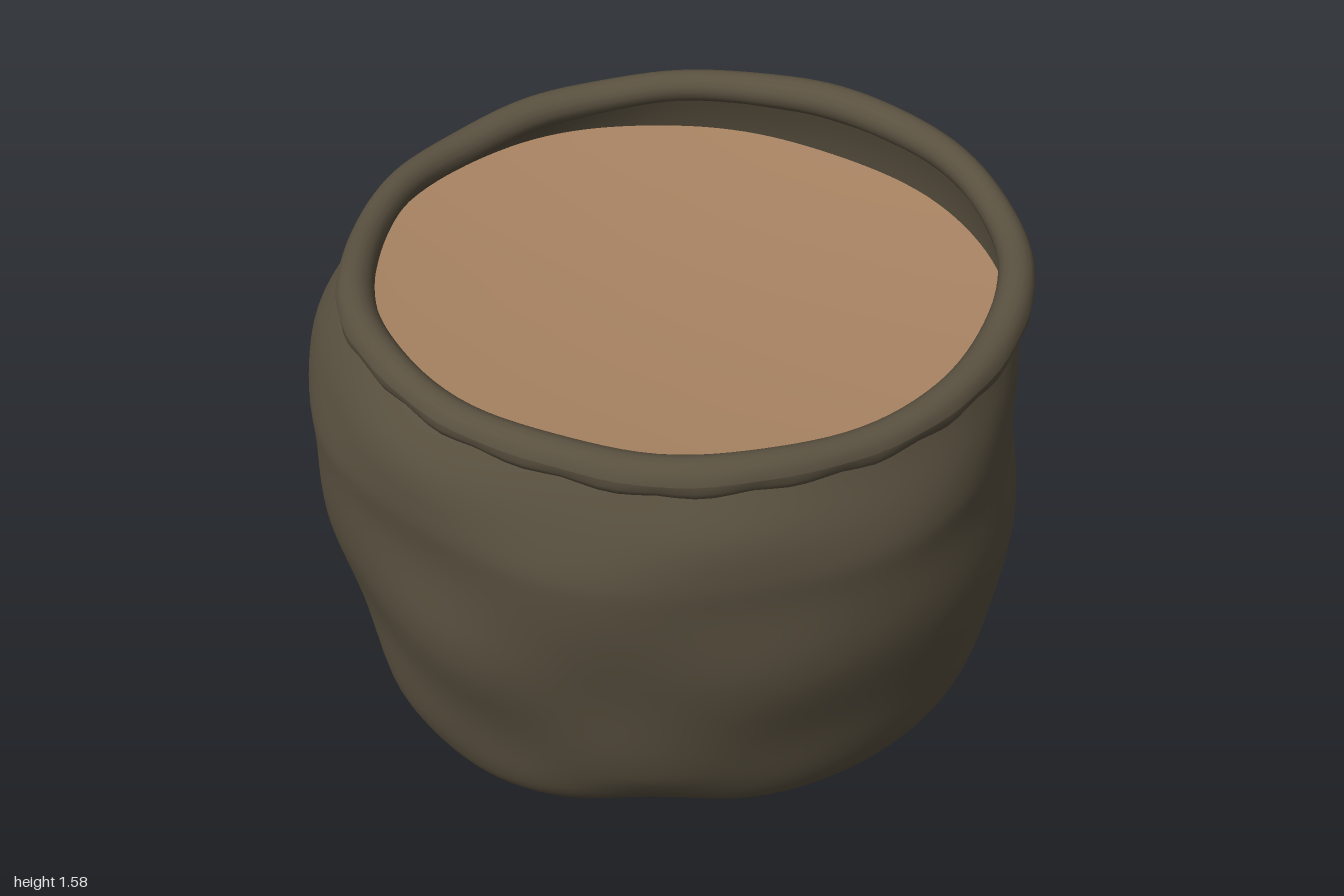
import * as THREE from 'three';

const { smoothstep, clamp } = THREE.MathUtils;
const TAU = Math.PI * 2;
const COLS = 128;

// Wall profile: height, then reach towards -x, +x, +z and -z
const RINGS = [
  [0.02, 0.001, 0.001, 0.001, 0.001],
  [0.0, 0.3, 0.36, 0.35, 0.35],
  [0.02, 0.53, 0.64, 0.56, 0.66],
  [0.1, 0.7, 0.79, 0.68, 0.83],
  [0.25, 0.81, 0.89, 0.775, 0.93],
  [0.5, 0.885, 0.945, 0.865, 0.98],
  [0.75, 0.955, 0.965, 0.94, 0.995],
  [1.0, 0.96, 0.935, 0.98, 0.955],
  [1.12, 0.97, 0.935, 0.99, 0.925],
  [1.25, 0.93, 0.935, 0.97, 0.885],
  [1.4, 0.815, 0.91, 0.905, 0.81],
];
const spline = (pts, closed) => new THREE.CatmullRomCurve3(pts, closed, 'catmullrom', 0.5);
const sideCurve = spline(RINGS.map(r => new THREE.Vector3(r[0], r[1], r[2])), false);
const depthCurve = spline(RINGS.map(r => new THREE.Vector3(r[3], r[4], 0)), false);

// Rim height every 45 degrees, turning from +x towards +z
const rimCurve = spline([1.445, 1.385, 1.39, 1.455, 1.435, 1.455, 1.515, 1.525]
  .map((y, i) => new THREE.Vector3(i, y, 0)), true);
const rimHeight = a => rimCurve.getPoint((a / TAU) % 1).y + 0.003 * Math.sin(11 * a);

// One-sided weight that peaks in direction `at` and fades out 45 degrees away
const diagonal = (a, at) => Math.cos(a - at) > 0 ? Math.max(0, Math.cos(2 * (a - at))) ** 2 : 0;
const FRONT_LEFT = TAU / 8, FRONT_RIGHT = TAU * 3 / 8, BACK_LEFT = -TAU / 8;

// Reach of the wall in direction a, blended from the four side reaches
function reach(a, side, depth) {
  const c = Math.cos(a), s = Math.sin(a);
  const X = c < 0 ? side.y : side.z, Z = s > 0 ? depth.x : depth.y;
  const mouth = 0.03 * diagonal(a, FRONT_RIGHT) - 0.012 * diagonal(a, BACK_LEFT);
  return 1 / Math.sqrt((c / X) ** 2 + (s / Z) ** 2) + mouth * smoothstep(side.x, 1.15, 1.4);
}

// Surface through closed loops: point(a, t) gives a position
function loft(rows, point) {
  const pos = [], index = [];
  for (let i = 0; i <= rows; i++)
    for (let j = 0; j < COLS; j++) pos.push(...point(j / COLS * TAU, i / rows));
  for (let i = 0; i < rows; i++)
    for (let j = 0; j < COLS; j++) {
      const p = i * COLS + j, q = i * COLS + (j + 1) % COLS;
      index.push(p, p + COLS, q, q, p + COLS, q + COLS);
    }
  const g = new THREE.BufferGeometry();
  g.setAttribute('position', new THREE.Float32BufferAttribute(pos, 3));
  g.setIndex(index);
  g.computeVertexNormals();
  return g;
}

// Sagging cloth with soft slanted creases, strongest on the -x +z side
function wallPoint(a, t) {
  const side = sideCurve.getPoint(t), depth = depthCurve.getPoint(t);
  const h = side.x;
  const body = smoothstep(h, 0.03, 0.3) * (1 - smoothstep(h, 1.15, 1.38));
  const creased = 0.1 + 0.9 * Math.max(0, Math.cos(a - 2.3));
  const folds = 0.007 * Math.sin(8 * h + 7 * a) + 0.006 * Math.sin(11 * h - 6 * a + 1);
  // Two opposite bottom corners are fuller, and the belly swells on the +x side
  const corner = (0.2 * diagonal(a, BACK_LEFT) + 0.12 * diagonal(a, FRONT_RIGHT)) * Math.exp(-4 * h);
  const belly = 0.035 * diagonal(a, BACK_LEFT) * smoothstep(h, 0.15, 0.5) * (1 - smoothstep(h, 0.85, 1.25))
    + 0.03 * diagonal(a, FRONT_LEFT) * smoothstep(h, 0.4, 0.9) * (1 - smoothstep(h, 1.1, 1.35));
  const r = reach(a, side, depth) * (1 + corner) + belly + body * creased * folds;
  const x = r * Math.cos(a), z = r * Math.sin(a);
  // Underside rises to the back and has a shallow dent in the middle
  const lift = 0.17 * clamp((0.35 - z) / 0.75, 0, 1) ** 1.15 * Math.max(0, 1 - h / 0.75);
  const dent = 0.045 * Math.exp(-((x / 0.2) ** 2)) * smoothstep(z, 0, 0.35) * Math.max(0, 1 - h / 0.3);
  const y = h + lift + dent + (rimHeight(a) - 1.4) * smoothstep(h, 0.9, 1.4);
  return [x, y, z];
}

const rimReach = a => reach(a, sideCurve.getPoint(1), depthCurve.getPoint(1)) + 0.003 * Math.sin(9 * a + 1);

// Rolled hem with an uneven lower outer edge
function rimPoint(a, t) {
  const f = t * TAU;
  const zigzag = Math.abs(((a / TAU * 26) % 1) - 0.5) * 2;
  const lower = Math.max(0, Math.cos(f + 0.9)) ** 3;
  const thick = 0.047 + 0.003 * Math.sin(5 * a) + 0.01 * zigzag * lower;
  const r = rimReach(a) + thick * Math.cos(f);
  return [r * Math.cos(a), rimHeight(a) + thick * Math.sin(f), r * Math.sin(a)];
}

// Tilted fill, slightly hollow in the middle
function fillPoint(a, t) {
  const r = (rimReach(a) - 0.015) * (1 - t) + 0.0005;
  const x = r * Math.cos(a), z = r * Math.sin(a);
  return [x, 1.355 - 0.05 * z - 0.03 * x - 0.05 * (1 - (1 - t) ** 2), z];
}

export function createModel() {
  const cloth = new THREE.MeshStandardMaterial({ color: 0x5a5140, side: THREE.DoubleSide });
  cloth.name = 'darkCloth';
  const grain = new THREE.MeshStandardMaterial({ color: 0xa88362 });
  grain.name = 'tanFill';

  const model = new THREE.Group();
  model.name = 'openSack';
  const add = (name, geometry, material) => {
    const mesh = new THREE.Mesh(geometry, material);
    mesh.name = name;
    model.add(mesh);
  };
  add('sackWall', loft(70, wallPoint), cloth);
  add('rolledRim', loft(16, rimPoint), cloth);
  add('fill', loft(16, fillPoint), grain);
  return model;
}
